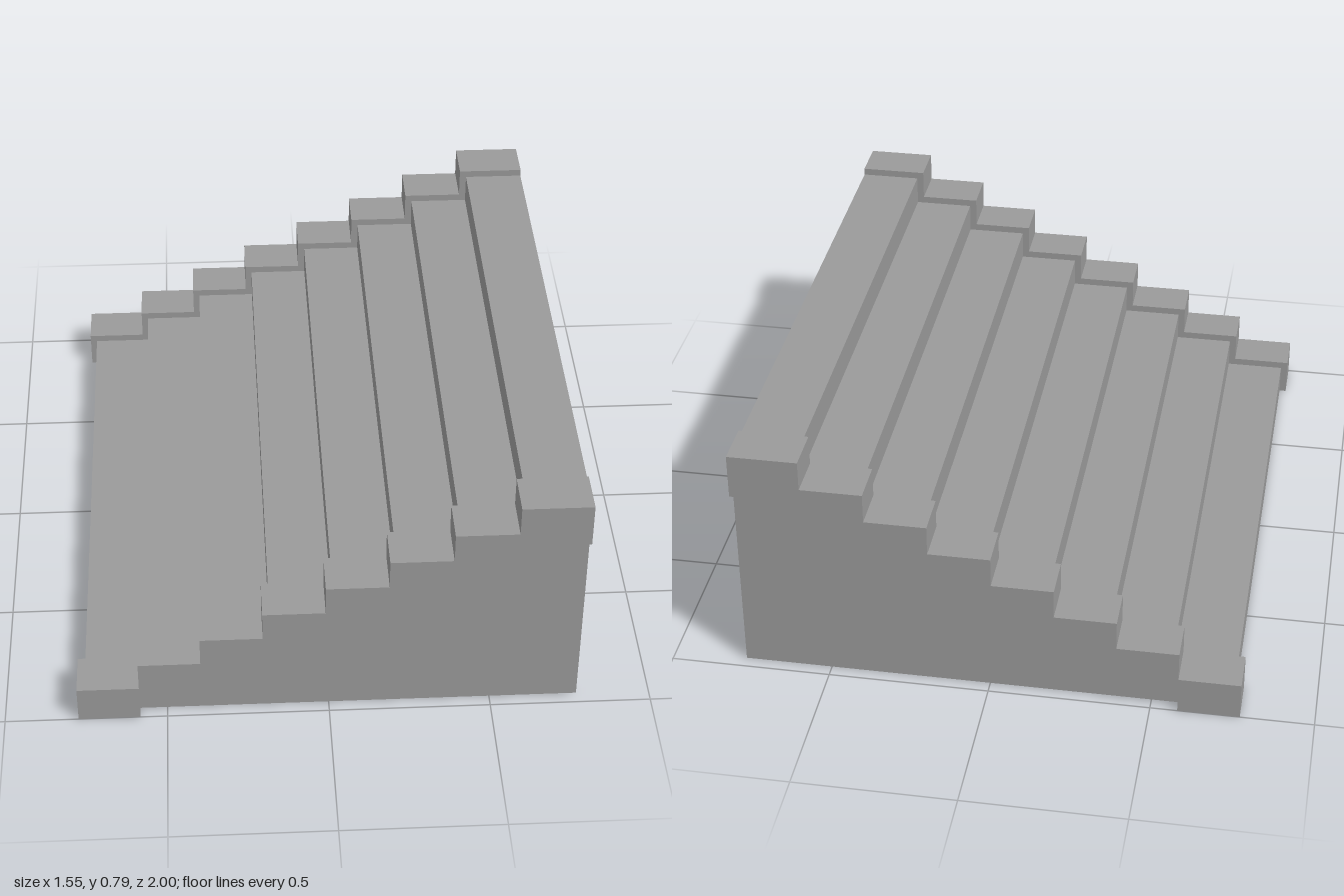
import * as THREE from 'three';

const STEPS = 8, RUN = 0.1904, RISE = 0.095;
const X0 = -0.774, X1 = 0.773;         // low and high ends
const INNER = 0.858, OUTER = 1, WALL_Z = 0.96;

const COLOR = 0x9a9a9a;
const solid = new THREE.MeshStandardMaterial({ color: COLOR, flatShading: true });
const thin = new THREE.MeshStandardMaterial({ color: COLOR, flatShading: true, side: THREE.DoubleSide });

// Stepped line from the low end to the high end: one riser and one tread per step
function stairLine(startX, firstRise, count) {
  const pts = [new THREE.Vector2(startX, 0)];
  for (let i = 0; i < count; i++) {
    const y = firstRise + i * RISE;
    const endX = i === count - 1 ? X1 : startX + (i + 1) * RUN;
    pts.push(new THREE.Vector2(startX + i * RUN, y), new THREE.Vector2(endX, y));
  }
  return pts;
}

function addMesh(group, name, geometry, material, z = 0) {
  const mesh = new THREE.Mesh(geometry, material);
  mesh.name = name;
  mesh.position.z = z;
  group.add(mesh);
}

export function createModel() {
  const group = new THREE.Group();
  group.name = 'staircase';

  const top = stairLine(X0, 0.12, STEPS);
  const under = stairLine(X0 + RUN, 0.073, STEPS - 1);

  // Stepped side borders and the thin walls that carry them
  const border = new THREE.Shape([...top, ...under.slice().reverse()]);
  const borderGeo = new THREE.ExtrudeGeometry(border, { depth: OUTER - INNER, bevelEnabled: false });
  const wall = new THREE.Shape([...under, new THREE.Vector2(X1, 0)]);
  const wallGeo = new THREE.ShapeGeometry(wall);
  for (const [side, s] of [['front', 1], ['back', -1]]) {
    addMesh(group, side + 'Border', borderGeo, solid, s > 0 ? INNER : -OUTER);
    addMesh(group, side + 'Wall', wallGeo, thin, s * WALL_Z);
  }

  // Folded sheet of risers and treads, open underneath
  const line = stairLine(-0.752, 0.097, STEPS);
  const pos = [], index = [];
  for (let i = 0; i < line.length - 1; i++) {
    const a = line[i], b = line[i + 1], n = i * 4;
    pos.push(a.x, a.y, INNER, b.x, b.y, INNER, b.x, b.y, -INNER, a.x, a.y, -INNER);
    index.push(n, n + 1, n + 2, n, n + 2, n + 3);
  }
  const stepsGeo = new THREE.BufferGeometry();
  stepsGeo.setAttribute('position', new THREE.Float32BufferAttribute(pos, 3));
  stepsGeo.setIndex(index);
  stepsGeo.computeVertexNormals();
  addMesh(group, 'steps', stepsGeo, thin);

  return group;
}
